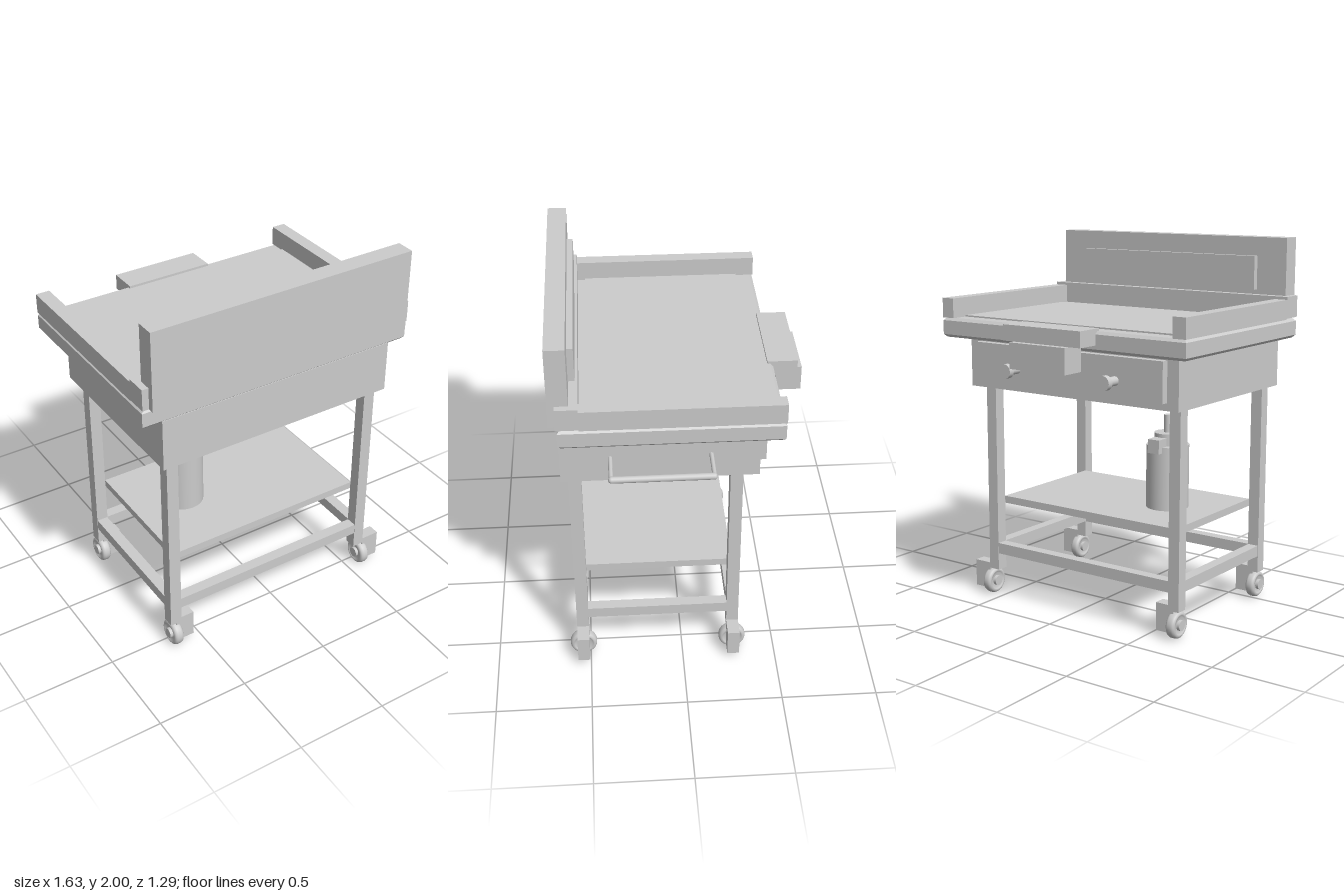
import * as THREE from 'three';

export function createModel() {
  const model = new THREE.Group();
  model.name = 'griddleCart';
  const grey = new THREE.MeshStandardMaterial({ color: 0xcccccc });

  const add = (name, geometry, parent = model) => {
    const mesh = new THREE.Mesh(geometry, grey);
    mesh.name = name;
    parent.add(mesh);
    return mesh;
  };
  // Box given by its two limits on each axis
  const box = (name, [x0, x1], [y0, y1], [z0, z1], parent) => {
    const mesh = add(name, new THREE.BoxGeometry(x1 - x0, y1 - y0, z1 - z0), parent);
    mesh.position.set((x0 + x1) / 2, (y0 + y1) / 2, (z0 + z1) / 2);
    return mesh;
  };
  // Cylinder along an axis, centred on (x, y, z)
  const rod = (name, axis, radius, length, x, y, z, parent) => {
    const geometry = new THREE.CylinderGeometry(radius, radius, length, 32);
    if (axis === 'x') geometry.rotateZ(Math.PI / 2);
    if (axis === 'z') geometry.rotateX(Math.PI / 2);
    const mesh = add(name, geometry, parent);
    mesh.position.set(x, y, z);
    return mesh;
  };

  const legX = [-0.647, 0.552], legZ = [-0.272, 0.537], half = 0.032;

  // Tyre with rounded shoulders and recessed sides, turned to roll along z
  const tyreProfile = [[0.02, -0.018], [0.045, -0.018], [0.05, -0.026], [0.06, -0.026], [0.068, -0.02], [0.072, -0.01],
    [0.072, 0.01], [0.068, 0.02], [0.06, 0.026], [0.05, 0.026], [0.045, 0.018], [0.02, 0.018]];
  const tyre = new THREE.LatheGeometry(tyreProfile.map(([r, h]) => new THREE.Vector2(r, h)), 40);
  tyre.rotateZ(Math.PI / 2);

  // Legs and casters
  for (const [i, x] of legX.entries()) {
    for (const z of legZ) {
      box('leg', [x - half, x + half], [0.15, 1.2], [z - half, z + half]);
      const caster = new THREE.Group();
      caster.name = 'caster';
      caster.position.set(x + (i ? 0.031 : 0), 0.073, z);
      model.add(caster);
      add('wheel', tyre, caster);
      rod('hub', 'x', 0.028, 0.07, 0, 0, 0, caster);
      box('casterBracket', [0, 0.105], [-0.043, 0.107], [-half, half], caster);
    }
  }

  // Lower rails and shelf
  const spanX = [legX[0] + half, legX[1] - half], spanZ = [legZ[0] + half, legZ[1] - half];
  for (const z of legZ) box('longRail', spanX, [0.245, 0.305], [z - 0.03, z + 0.03]);
  for (const x of legX) box('shortRail', [x - 0.03, x + 0.03], [0.245, 0.305], spanZ);
  box('shelf', spanX, [0.525, 0.565], spanZ);

  // Gas bottle
  rod('bottle', 'y', 0.115, 0.345, -0.33, 0.7375, 0.115);
  rod('bottleCollar', 'y', 0.073, 0.065, -0.33, 0.9425, 0.115);
  rod('bottleStem', 'y', 0.021, 0.095, -0.33, 1.0225, 0.115);
  box('bottleValve', [-0.365, -0.295], [0.88, 0.955], [-0.025, 0.05]);

  // Body
  box('body', [-0.715, 0.62], [1.2, 1.48], [-0.38, 0.605]);

  // Top slab with chamfered upper and lower edges
  const slabW = 1.515, slabD = 1.06, bevel = 0.015;
  const outline = new THREE.Shape();
  outline.moveTo(-slabW / 2, -slabD / 2).lineTo(slabW / 2, -slabD / 2)
    .lineTo(slabW / 2, slabD / 2).lineTo(-slabW / 2, slabD / 2).closePath();
  const slab = new THREE.ExtrudeGeometry(outline, {
    depth: 0.075, bevelThickness: bevel, bevelSize: bevel, bevelSegments: 1,
  });
  slab.rotateX(-Math.PI / 2);
  add('topSlab', slab).position.set(-0.0475, 1.485, 0.06);

  // Cooking plate and its surrounding walls
  box('griddlePlate', [-0.745, 0.65], [1.57, 1.583], [-0.39, 0.46]);
  for (const x of [[-0.82, -0.745], [0.65, 0.725]]) box('sideWall', x, [1.575, 1.68], [-0.487, 0.5]);
  box('frontWall', [-0.82, 0.725], [1.58, 1.695], [0.5, 0.612]);
  box('splashPanel', [-0.785, 0.69], [1.58, 2], [0.545, 0.645]);
  box('splashInset', [-0.61, 0.515], [1.72, 1.9], [0.513, 0.545]);

  // Grease chute and drip box
  box('greaseChute', [-0.292, 0.197], [1.505, 1.588], [-0.61, -0.455]);
  box('dripBox', [-0.223, 0.127], [1.37, 1.505], [-0.645, -0.513]);

  // Control panel with knobs
  box('controlPanel', [-0.6475, 0.5525], [1.24, 1.45], [-0.42, -0.38]);
  for (const x of [-0.363, 0.268]) {
    rod('knobShaft', 'z', 0.024, 0.08, x, 1.327, -0.455);
    rod('knob', 'z', 0.038, 0.031, x, 1.327, -0.507);
  }

  // Side handle
  const grip = new THREE.CapsuleGeometry(0.017, 0.49, 8, 24);
  grip.rotateX(Math.PI / 2);
  add('handleGrip', grip).position.set(0.797, 1.335, 0.11);
  for (const z of [-0.138, 0.358]) rod('handlePost', 'x', 0.011, 0.18, 0.71, 1.335, z);

  return model;
}
